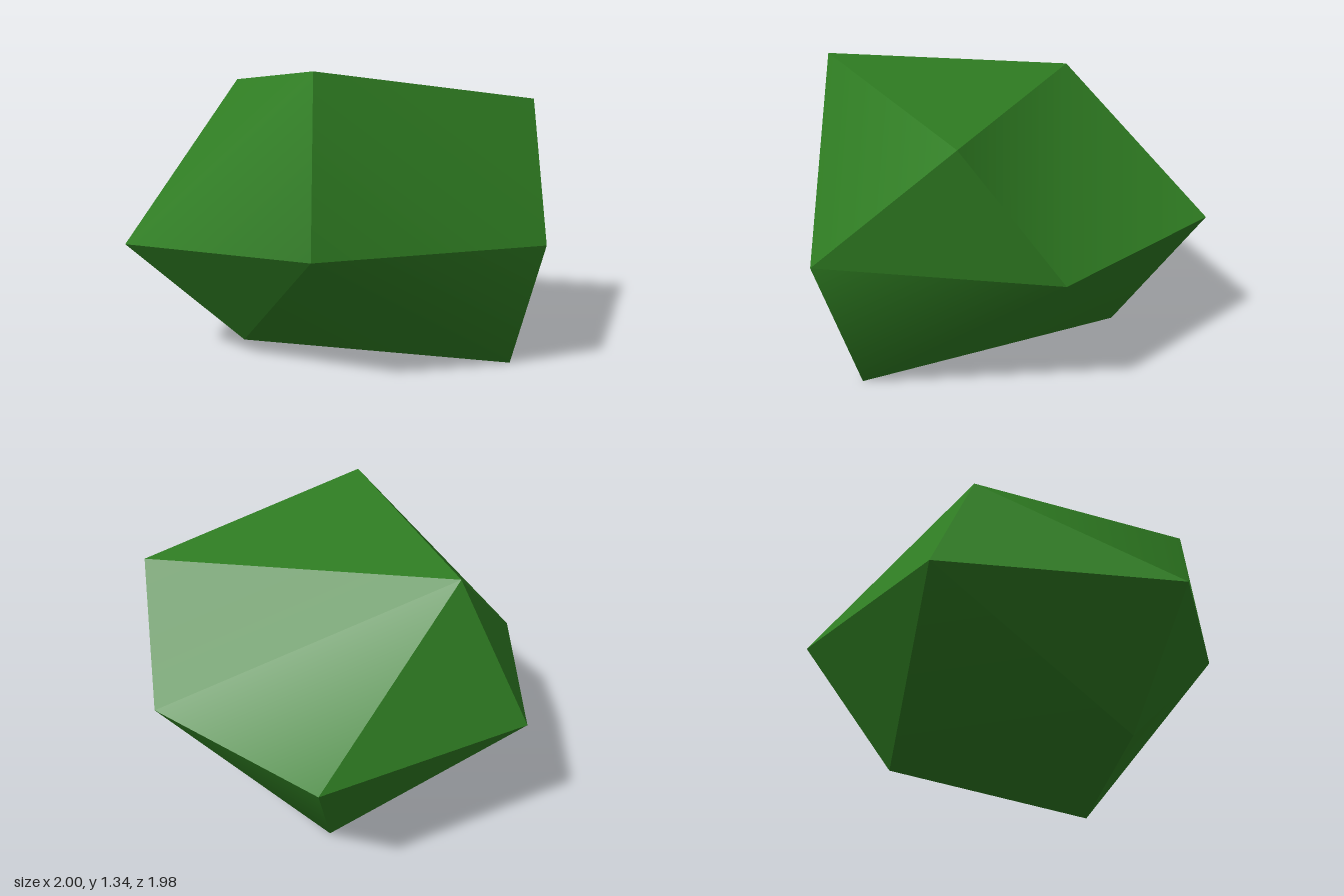
import * as THREE from 'three';

export function createModel() {
  const leafGreen = new THREE.MeshStandardMaterial({ color: 0x2f7d22 });
  leafGreen.name = 'leaf green';

  // Corners of the faceted bush
  const corners = {
    // crown
    A: [0.105, 1.34, 0.90], B: [-0.63, 1.23, -0.13], C: [0.895, 1.16, -0.17],
    // waist
    D: [-1.0, 0.60, -0.25], E: [-0.81, 0.56, 0.78], F: [0.115, 0.60, 0.985],
    G: [1.0, 0.60, 0.475], H: [0.715, 0.57, -0.57], I: [-0.225, 0.60, -0.99],
    // base
    J: [-0.35, 0.07, 0.55], K: [0.86, 0, 0.34], L: [-0.15, 0, -0.56],
  };

  // Facets, counter-clockwise from outside; each is a fan from its first corner
  const facets = [
    'ACB', 'ABEF', 'AFGC', 'BCHI', 'BDE', 'BID', 'CGH', // upper half
    'EJF', 'EDJ', 'FJKG', 'HGKLI', 'LDI', 'JDLK',       // lower half
  ];

  // Corners are shared inside a facet only, so edges between facets stay sharp
  const positions = [];
  const indices = [];
  for (const facet of facets) {
    const start = positions.length / 3;
    for (const key of facet) positions.push(...corners[key]);
    for (let i = 1; i < facet.length - 1; i++) indices.push(start, start + i, start + i + 1);
  }
  const geometry = new THREE.BufferGeometry();
  geometry.setAttribute('position', new THREE.Float32BufferAttribute(positions, 3));
  geometry.setIndex(indices);
  geometry.computeVertexNormals();

  const foliage = new THREE.Mesh(geometry, leafGreen);
  foliage.name = 'foliage';

  const group = new THREE.Group();
  group.name = 'bush';
  group.add(foliage);
  return group;
}
